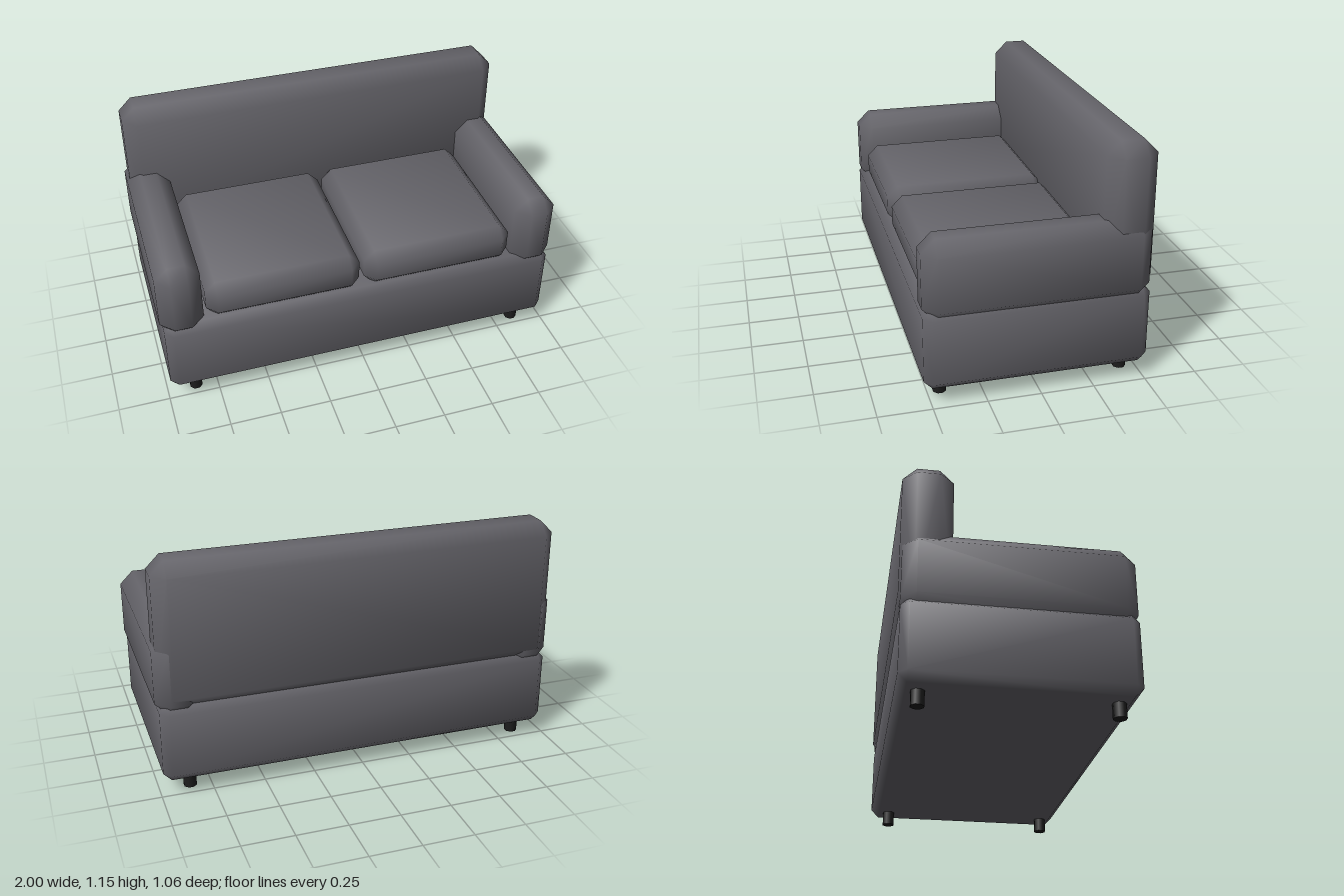
import * as THREE from 'three';
import { ConvexGeometry } from 'three/addons/geometries/ConvexGeometry.js';

const fabric = new THREE.MeshStandardMaterial({ color: 0x66656b });
fabric.name = 'greyFabric';
const black = new THREE.MeshStandardMaterial({ color: 0x1d1d1d });
black.name = 'blackLeg';

// Box with one wide chamfer on every edge and soft normals, from min to max corner
function paddedBox(name, min, max, chamfer) {
  const half = min.map((v, i) => (max[i] - v) / 2);
  const points = [];
  for (let axis = 0; axis < 3; axis++)
    for (const sx of [-1, 1]) for (const sy of [-1, 1]) for (const sz of [-1, 1]) {
      const p = [sx, sy, sz].map((s, i) => s * (half[i] - (i === axis ? 0 : chamfer)));
      points.push(new THREE.Vector3(...p));
    }
  const geometry = new ConvexGeometry(points);

  // Normals lean slightly outward at the rim of each face, so the chamfers read as rounded
  const pos = geometry.attributes.position;
  const normal = geometry.attributes.normal;
  const n = new THREE.Vector3();
  for (let i = 0; i < pos.count; i++) {
    const c = [pos.getX(i), pos.getY(i), pos.getZ(i)];
    n.set(...c.map((v, k) => Math.sign(v) * (Math.abs(v) > half[k] - 1e-4 ? 1 : 0.25))).normalize();
    normal.setXYZ(i, n.x, n.y, n.z);
  }

  const mesh = new THREE.Mesh(geometry, fabric);
  mesh.name = name;
  mesh.position.set(...min.map((v, i) => (v + max[i]) / 2));
  return mesh;
}

export function createModel() {
  const sofa = new THREE.Group();
  sofa.name = 'sofa';

  // Base and backrest
  sofa.add(paddedBox('base', [-0.985, 0.07, -0.52], [0.985, 0.465, 0.53], 0.04));
  sofa.add(paddedBox('backrest', [-0.985, 0.435, -0.53], [0.985, 1.15, -0.295], 0.065));

  // Armrests and seat cushions, one on each side
  for (const [side, s] of [['left', 1], ['right', -1]]) {
    const pair = (a, b) => (s > 0 ? [a, b] : [-b, -a]);
    const [a0, a1] = pair(0.788, 1);
    sofa.add(paddedBox(side + 'Armrest', [a0, 0.4, -0.52], [a1, 0.79, 0.53], 0.065));
    const [c0, c1] = pair(0.012, 0.773);
    sofa.add(paddedBox(side + 'SeatCushion', [c0, 0.445, -0.32], [c1, 0.645, 0.505], 0.053));
  }

  // Four short octagonal legs
  const legGeometry = new THREE.CylinderGeometry(0.032, 0.032, 0.09, 8).rotateY(Math.PI / 8);
  for (const x of [-0.858, 0.852]) for (const z of [-0.427, 0.442]) {
    const leg = new THREE.Mesh(legGeometry, black);
    leg.name = (z > 0 ? 'front' : 'back') + (x > 0 ? 'Left' : 'Right') + 'Leg';
    leg.position.set(x, 0.045, z);
    sofa.add(leg);
  }
  return sofa;
}
